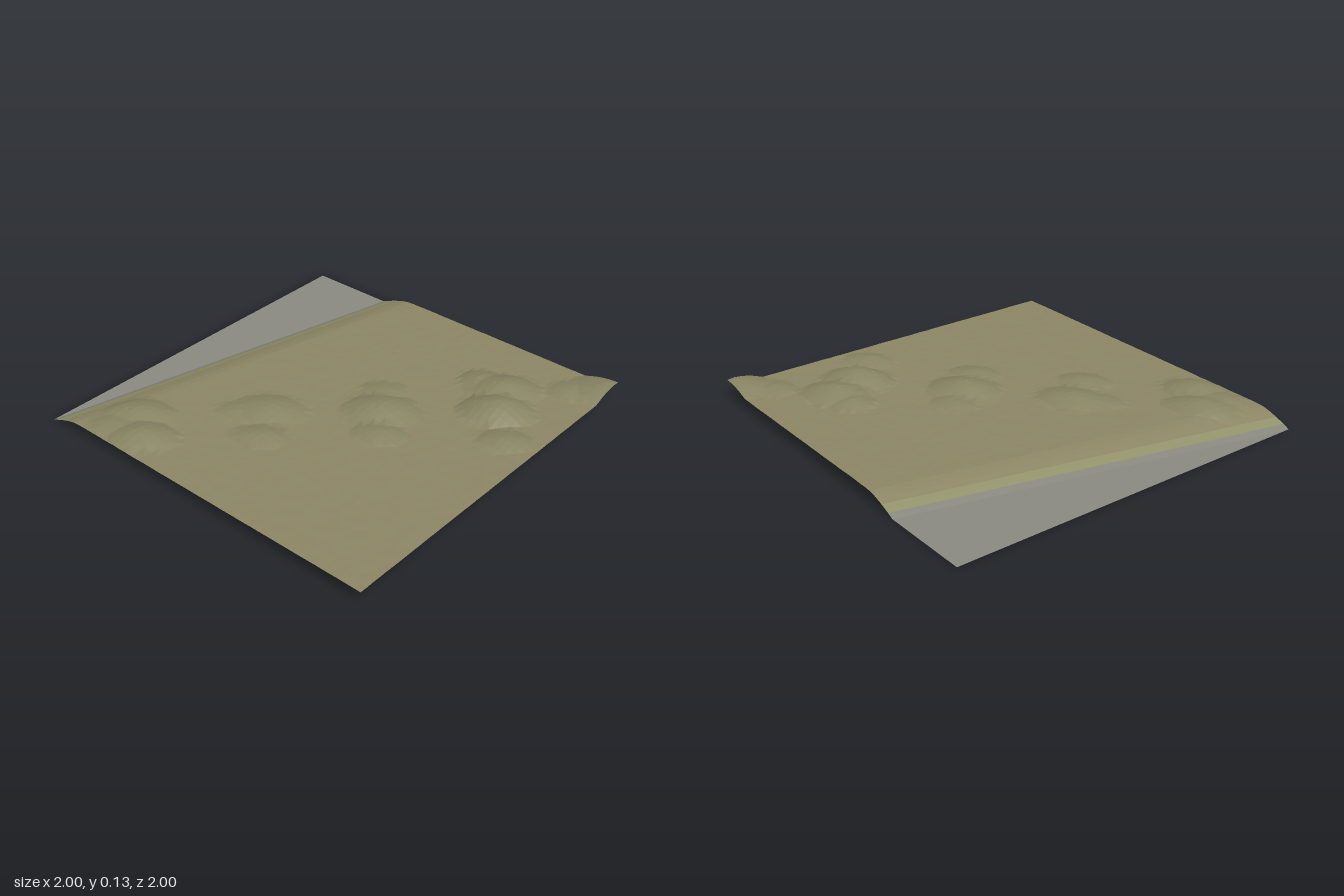
import * as THREE from 'three';

// Dunes: x, z, height above the plain, half-length, half-width
const DUNES = [
  [0.97, -0.95, 0.046, 0.20, 0.15], [0.83, -0.82, 0.022, 0.12, 0.10],
  [0.58, -0.61, 0.056, 0.20, 0.15], [0.44, -0.60, 0.034, 0.12, 0.11],
  [0.66, -0.43, 0.068, 0.20, 0.15], [0.84, -0.25, 0.028, 0.15, 0.10],
  [0.23, -0.06, 0.054, 0.20, 0.15], [0.13, -0.20, 0.022, 0.13, 0.10],
  [0.35, 0.10, 0.026, 0.15, 0.10], [-0.19, 0.30, 0.040, 0.20, 0.14],
  [-0.07, 0.49, 0.026, 0.15, 0.10], [-0.30, 0.40, 0.018, 0.12, 0.09],
  [-0.65, 0.74, 0.042, 0.20, 0.13], [-0.49, 0.86, 0.046, 0.18, 0.13],
  [-0.66, 0.88, 0.026, 0.14, 0.10],
];
const PLAIN = 0.062, SLOPE = 0.19;

// Foot of the beach slope at a given z
const foot = z => Math.max(-1, -0.765 - 0.235 * z);

// Small repeatable noise in -1..1
function noise(x, z) {
  const s = Math.sin(x * 127.1 + z * 311.7) * 43758.5453;
  return 2 * (s - Math.floor(s)) - 1;
}

// Dunes are ridges running diagonally, from front right to back left
function duneHeight(x, z) {
  let h = 0;
  for (const [cx, cz, height, length, width] of DUNES) {
    const u = ((x - cx) * 0.85 - (z - cz) * 0.53) / length;
    const v = ((x - cx) * 0.53 + (z - cz) * 0.85) / width;
    const t = Math.max(0, 1 - Math.hypot(u, v));
    h = Math.max(h, height * t * (1.6 - 0.6 * t));
  }
  return h;
}

// Ground height: flat sea, rounded beach slope, plain with dunes
function heightAt(x, z) {
  const t = THREE.MathUtils.clamp((x - foot(z)) / SLOPE, 0, 1);
  const base = PLAIN * (0.6 * Math.sin(t * Math.PI / 2) + 0.4 * t);
  return base + t * (duneHeight(x, z) + 0.0008 * noise(x, z));
}

// Sheet between two edges given as x(z), keeping only the wanted cells
function sheet(name, color, from, to, columns, rows, keep = () => true) {
  const points = [], index = [];
  for (let j = 0; j <= rows; j++) {
    const z = -1 + 2 * j / rows;
    for (let i = 0; i <= columns; i++) {
      const x = THREE.MathUtils.lerp(from(z), to(z), i / columns);
      points.push(x, heightAt(x, z), z);
    }
  }
  for (let j = 0; j < rows; j++) for (let i = 0; i < columns; i++) {
    const a = j * (columns + 1) + i, b = a + 1, c = a + columns + 1, d = c + 1;
    const x = (points[3 * a] + points[3 * d]) / 2;
    const z = (points[3 * a + 2] + points[3 * d + 2]) / 2;
    if (!keep(x, z)) continue;
    if ((i + j) % 2) index.push(a, c, b, b, c, d);
    else index.push(a, c, d, a, d, b);
  }
  const geometry = new THREE.BufferGeometry();
  geometry.setAttribute('position', new THREE.Float32BufferAttribute(points, 3));
  geometry.setIndex(index);
  geometry.computeVertexNormals();
  const mesh = new THREE.Mesh(geometry, new THREE.MeshStandardMaterial({
    color, flatShading: true, side: THREE.DoubleSide,
  }));
  mesh.name = name;
  return mesh;
}

export function createModel() {
  const model = new THREE.Group();
  model.name = 'coastalTerrain';

  const shore = z => foot(z) + 0.035;
  const grassEdge = z => foot(z) + 0.085;
  const right = () => 1;
  const isDune = (x, z) => duneHeight(x, z) + 0.002 * noise(z, x) > 0.002;
  const rows = 50;

  // Flat sea and wet edge
  model.add(sheet('sea', 0x8a8980, () => -1, foot, 4, rows));
  model.add(sheet('wetShore', 0x85847a, foot, shore, 2, rows));
  // Pale grassy strip along the beach
  model.add(sheet('beachStrip', 0x8f8f68, shore, grassEdge, 2, rows));
  // Plain and the greener dune patches share one grid
  model.add(sheet('plain', 0x8b8564, grassEdge, right, 46, rows, (x, z) => !isDune(x, z)));
  model.add(sheet('dunes', 0x868362, grassEdge, right, 46, rows, isDune));

  return model;
}
